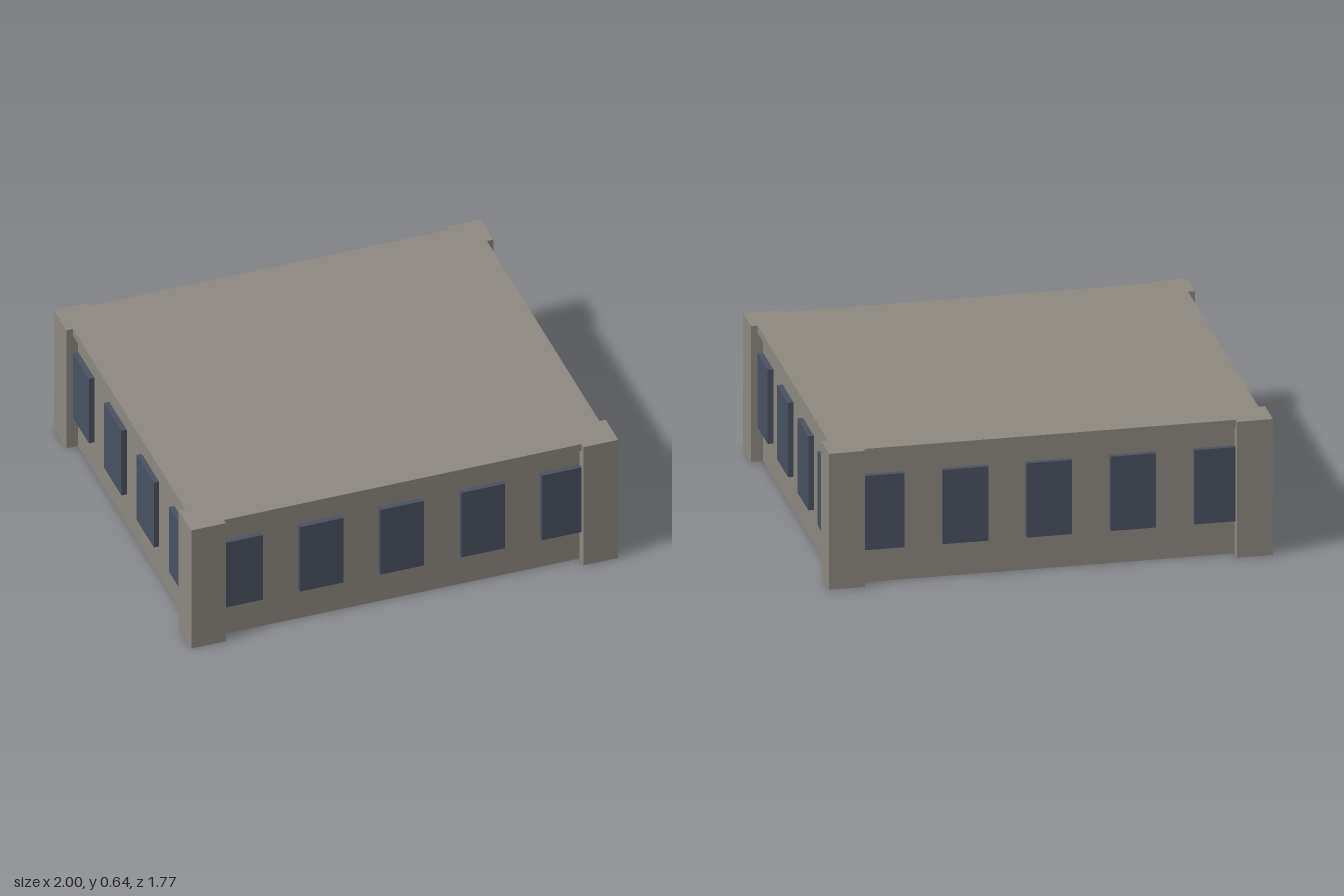
import * as THREE from 'three';

const stone = new THREE.MeshStandardMaterial({ name: 'stone', color: 0x8e8a82 });
const glass = new THREE.MeshStandardMaterial({ name: 'darkGlass', color: 0x4a5261 });

const HEIGHT = 0.64, HALF_X = 1, HALF_Z = 0.885;
const WALL_X = 0.945, WALL_Z = 0.83;

export function createModel() {
  const model = new THREE.Group();
  model.name = 'buildingStorey';

  const box = (name, size, position, material = stone) => {
    const mesh = new THREE.Mesh(new THREE.BoxGeometry(...size), material);
    mesh.name = name;
    mesh.position.set(...position);
    model.add(mesh);
  };

  // Walls and the roof slab overhanging them
  box('walls', [WALL_X * 2, 0.604, WALL_Z * 2], [0, 0.302, 0]);
  box('cornice', [1.94, 0.036, 1.72], [0, HEIGHT - 0.018, 0]);

  // Corner pillars
  const pillar = 0.162;
  for (const sx of [-1, 1]) {
    for (const sz of [-1, 1]) {
      box('cornerPillar', [pillar, HEIGHT, pillar],
        [sx * (HALF_X - pillar / 2), HEIGHT / 2, sz * (HALF_Z - pillar / 2)]);
    }
  }

  // Raised window panels: five on the front and back, four on each side
  const windowHeight = 0.35, windowY = 0.335, depth = 0.05;
  for (const side of [-1, 1]) {
    for (let i = -2; i <= 2; i++) {
      box(side > 0 ? 'frontWindow' : 'backWindow', [0.204, windowHeight, depth],
        [i * 0.378, windowY, side * WALL_Z], glass);
    }
    for (let i = -1.5; i <= 1.5; i++) {
      box(side > 0 ? 'leftWindow' : 'rightWindow', [depth, windowHeight, 0.225],
        [side * WALL_X, windowY, i * 0.418], glass);
    }
  }
  return model;
}
